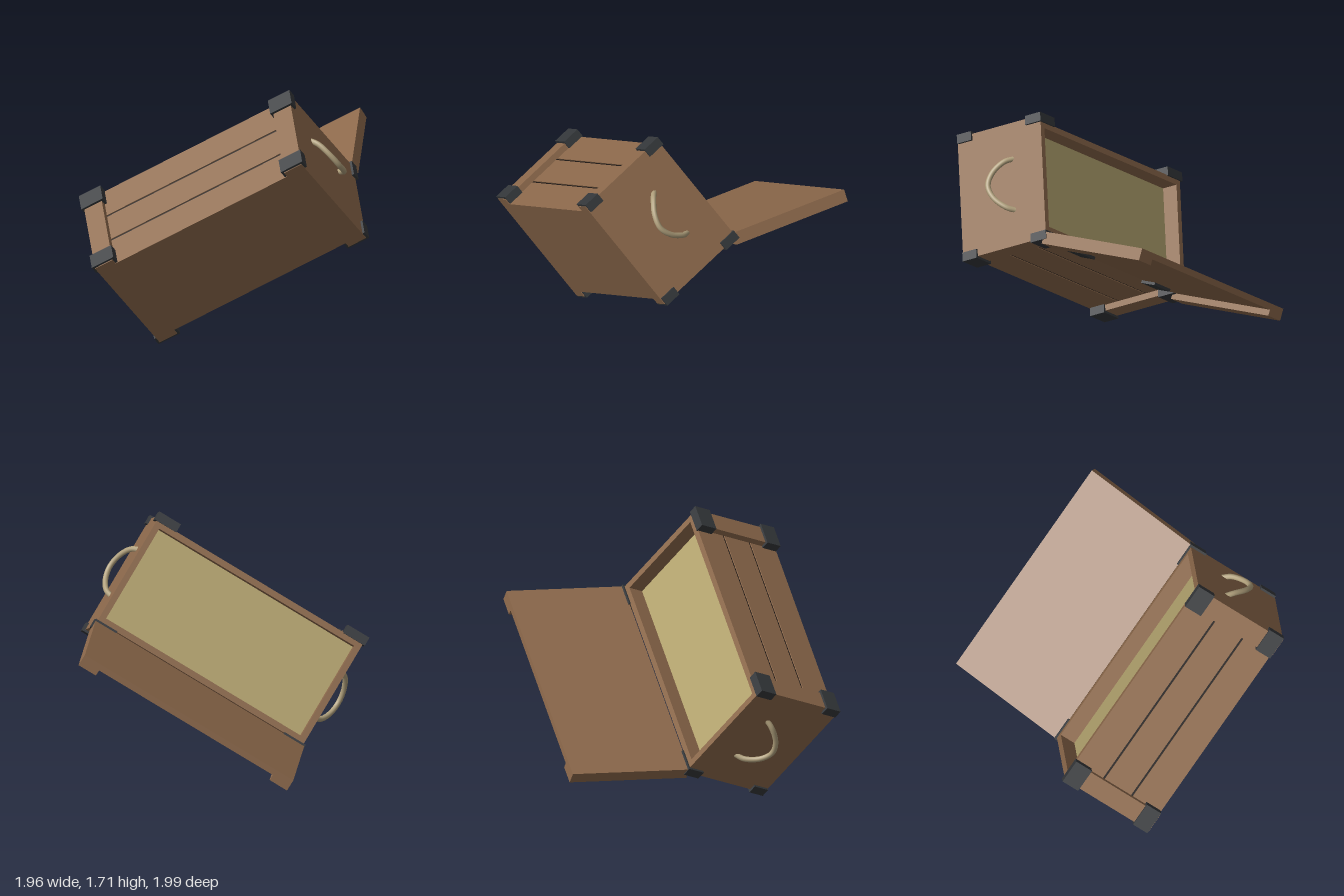
import * as THREE from 'three';

const mat = (name, color) => {
  const m = new THREE.MeshStandardMaterial({ color });
  m.name = name;
  return m;
};

export function createModel() {
  const wood = mat('wood', 0x8e6a4c);
  const metal = mat('darkMetal', 0x35383b);
  const gapDark = mat('gapShadow', 0x1c1613);
  const straw = mat('straw', 0xb6a670);
  const rope = mat('rope', 0xb0a07c);

  // Box given by its minimum and maximum on each axis
  const box = (parent, name, material, [x0, x1], [y0, y1], [z0, z1]) => {
    const mesh = new THREE.Mesh(new THREE.BoxGeometry(x1 - x0, y1 - y0, z1 - z0), material);
    mesh.position.set((x0 + x1) / 2, (y0 + y1) / 2, (z0 + z1) / 2);
    mesh.name = name;
    parent.add(mesh);
    return mesh;
  };
  // Range on one side of zero, mirrored by s
  const side = (s, a, b) => (s > 0 ? [a, b] : [-b, -a]);

  const A = 0.77, H = 0.325, B = 0.375; // half length, height, depth
  const T = 0.04, POST = 0.13;

  const crate = new THREE.Group();
  crate.name = 'crate';

  // Floor and filling
  box(crate, 'floor', wood, [-A + T, A - T], [-H, -H + T], [-B, B]);
  box(crate, 'strawFilling', straw, [-A + T, A - T], [0.1, 0.22], [-B + T, B - T]);

  for (const s of [1, -1]) {
    // End wall with rope handle
    box(crate, 'endWall', wood, side(s, A - T, A), [-H, H], [-B, B]);
    const path = new THREE.CatmullRomCurve3([
      [0.755, 0.095, 0.175], [0.8, 0.05, 0.155], [0.84, -0.02, 0.085], [0.853, -0.05, 0],
      [0.84, -0.02, -0.085], [0.8, 0.05, -0.155], [0.755, 0.095, -0.175],
    ].map(([x, y, z]) => new THREE.Vector3(s * x, y, z)));
    const handle = new THREE.Mesh(new THREE.TubeGeometry(path, 32, 0.018, 10), rope);
    handle.name = 'ropeHandle';
    crate.add(handle);

    // Long wall of three boards with dark gaps
    const pitch = (2 * H) / 3, g = 0.007;
    for (let i = 0; i < 3; i++) {
      const y0 = -H + i * pitch + (i > 0 ? g : 0);
      const y1 = -H + (i + 1) * pitch - (i < 2 ? g : 0);
      box(crate, 'wallBoard', wood, [-A + T, A - T], [y0, y1], side(s, B - T, B));
      if (i < 2) box(crate, 'boardGap', gapDark, [-A + T, A - T], [y1, y1 + 2 * g], side(s, B - T, B - 0.006));
    }

    // Corner posts with metal caps at both ends
    for (const e of [1, -1]) {
      box(crate, 'cornerPost', wood, side(e, A - POST, A), [-H, H], side(s, B, B + T));
      const capX = side(e, A - POST - 0.015, A + 0.015);
      const capZ = side(s, B - 0.005, B + T + 0.015);
      box(crate, 'topCap', metal, capX, [H - 0.11, H + 0.01], capZ);
      box(crate, 'bottomCap', metal, capX, [-H + 0.005, -H + 0.115], capZ);
    }
  }

  // Open lid, turning on the upper back edge
  const lid = new THREE.Group();
  lid.name = 'lid';
  lid.position.set(0, H, -B - 0.005);
  lid.rotation.x = -1.946;
  const D = 0.805, LX = 0.78;
  box(lid, 'lidPanel', wood, [-LX, LX], [0, T], [0, D]);
  for (const s of [1, -1]) {
    box(lid, 'lidBatten', wood, side(s, LX - POST, LX), [T, 2 * T], [0, D]);
    box(lid, 'hinge', metal, side(s, 0.33, 0.5), [T - 0.01, T + 0.018], [-0.015, 0.095]);
  }
  crate.add(lid);

  // Tumbled pose
  const x = new THREE.Vector3(0.834, 0.5045, 0.2243).normalize();
  const y = new THREE.Vector3(0.005, 0.4, -0.917);
  const z = new THREE.Vector3().crossVectors(x, y).normalize();
  y.crossVectors(z, x);
  crate.quaternion.setFromRotationMatrix(new THREE.Matrix4().makeBasis(x, y, z));
  crate.position.set(-0.086, 0.855, 0.387);

  const model = new THREE.Group();
  model.name = 'openCrate';
  model.add(crate);
  return model;
}
